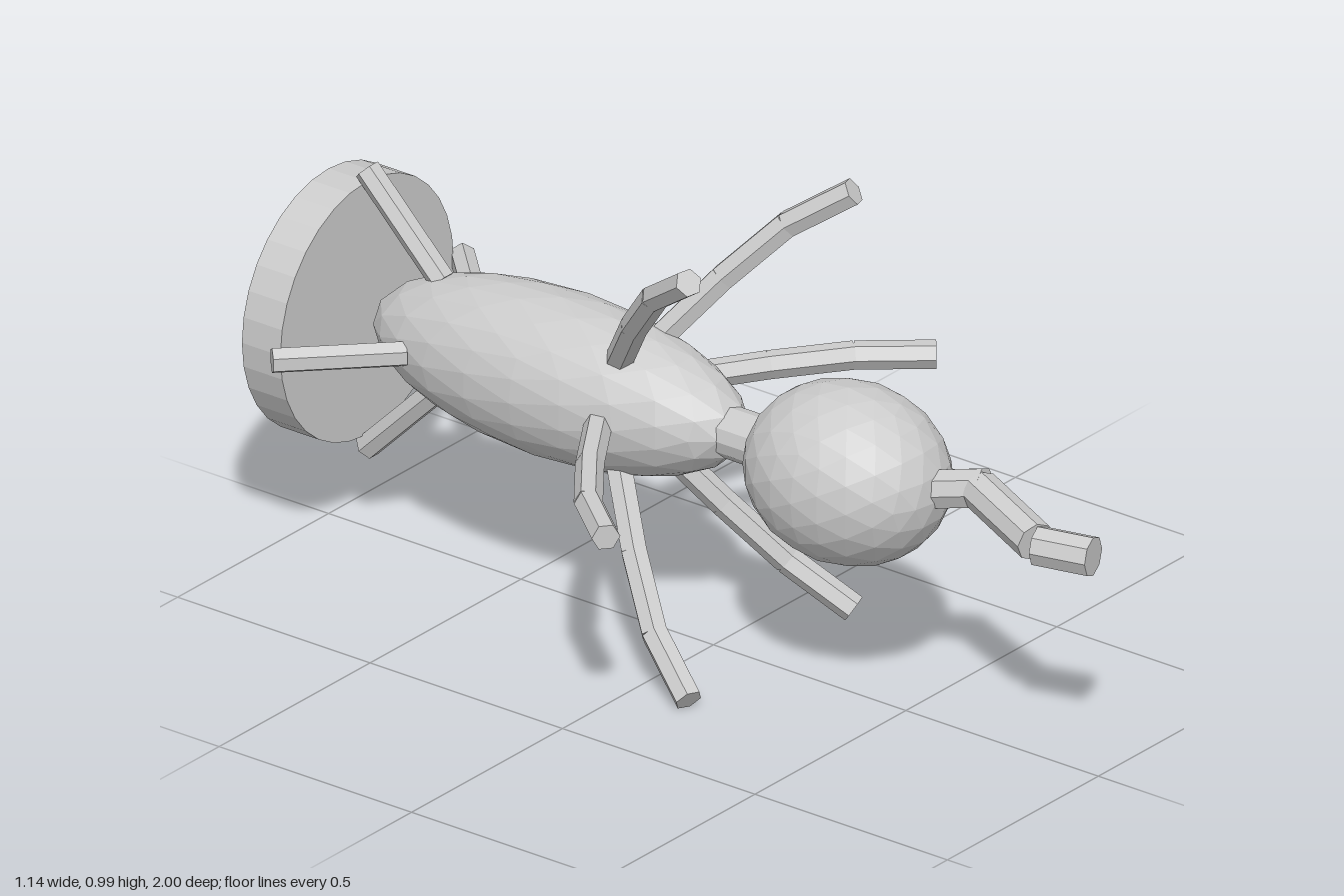
import * as THREE from 'three';

const AXIS_Y = 0.5; // height of the long body axis

export function createModel() {
  const model = new THREE.Group();
  const body = new THREE.Group();
  body.name = 'bodyAxis';
  body.position.y = AXIS_Y;
  model.add(body);
  const material = new THREE.MeshStandardMaterial({ color: 0xcccccc, flatShading: true });

  const add = (parent, name, geometry) => {
    const mesh = new THREE.Mesh(geometry, material);
    mesh.name = name;
    parent.add(mesh);
    return mesh;
  };

  // Faceted ellipsoid lying along z
  const ellipsoid = (name, radius, halfLength, z) => {
    const g = new THREE.IcosahedronGeometry(1, 3);
    g.rotateX(Math.PI / 2);
    g.scale(radius, radius, halfLength);
    g.translate(0, 0, z);
    return add(body, name, g);
  };

  // Straight prism between two points; twist turns its sides about its own axis
  const rod = (parent, name, from, to, radius, sides, twist = 0) => {
    const a = new THREE.Vector3(...from);
    const b = new THREE.Vector3(...to);
    const g = new THREE.CylinderGeometry(radius, radius, a.distanceTo(b), sides);
    g.rotateY(twist);
    const dir = b.clone().sub(a).normalize();
    const side = new THREE.Vector3(0, 1, 0).addScaledVector(dir, -dir.y).normalize();
    const third = side.clone().cross(dir);
    g.applyMatrix4(new THREE.Matrix4().makeBasis(side, dir, third));
    const mid = a.add(b).multiplyScalar(0.5);
    g.translate(mid.x, mid.y, mid.z);
    return add(parent, name, g);
  };

  // Body, head, neck and rear disc
  ellipsoid('abdomen', 0.175, 0.47, -0.395);
  ellipsoid('head', 0.192, 0.23, 0.35);
  rod(body, 'neck', [0, 0, 0.04], [0, 0, 0.14], 0.055, 12);
  rod(body, 'rearDisc', [0, 0, -1], [0, 0, -0.9], 0.287, 32);

  // Crooked snout of three separate segments
  const snout = new THREE.Group();
  snout.name = 'snout';
  body.add(snout);
  [
    [[0.02, 0.01, 0.54], [0.055, 0.037, 0.665]],
    [[0.047, 0.033, 0.655], [-0.027, 0.003, 0.858]],
    [[-0.033, 0, 0.868], [-0.004, 0, 0.99]],
  ].forEach(([a, b]) => rod(snout, 'snoutSegment', a, b, 0.043, 8));

  // Six bent front legs arranged radially
  const legPath = [[0.14, 0, -0.19], [0.295, 0, -0.09], [0.44, 0, 0.02], [0.547, 0, 0.15]];
  for (let i = 0; i < 6; i++) {
    const leg = new THREE.Group();
    leg.name = 'frontLeg';
    leg.rotation.z = (i * Math.PI) / 3;
    for (let j = 0; j < 3; j++) rod(leg, 'legSegment', legPath[j], legPath[j + 1], 0.03, 6);
    body.add(leg);
  }

  // Four straight rear struts
  for (let i = 0; i < 4; i++) {
    const strut = new THREE.Group();
    strut.name = 'rearStrut';
    strut.rotation.z = (i * Math.PI) / 2;
    rod(strut, 'strut', [0.12, 0, -0.705], [0.315, 0, -0.9], 0.028, 6, Math.PI / 6);
    body.add(strut);
  }

  return model;
}
